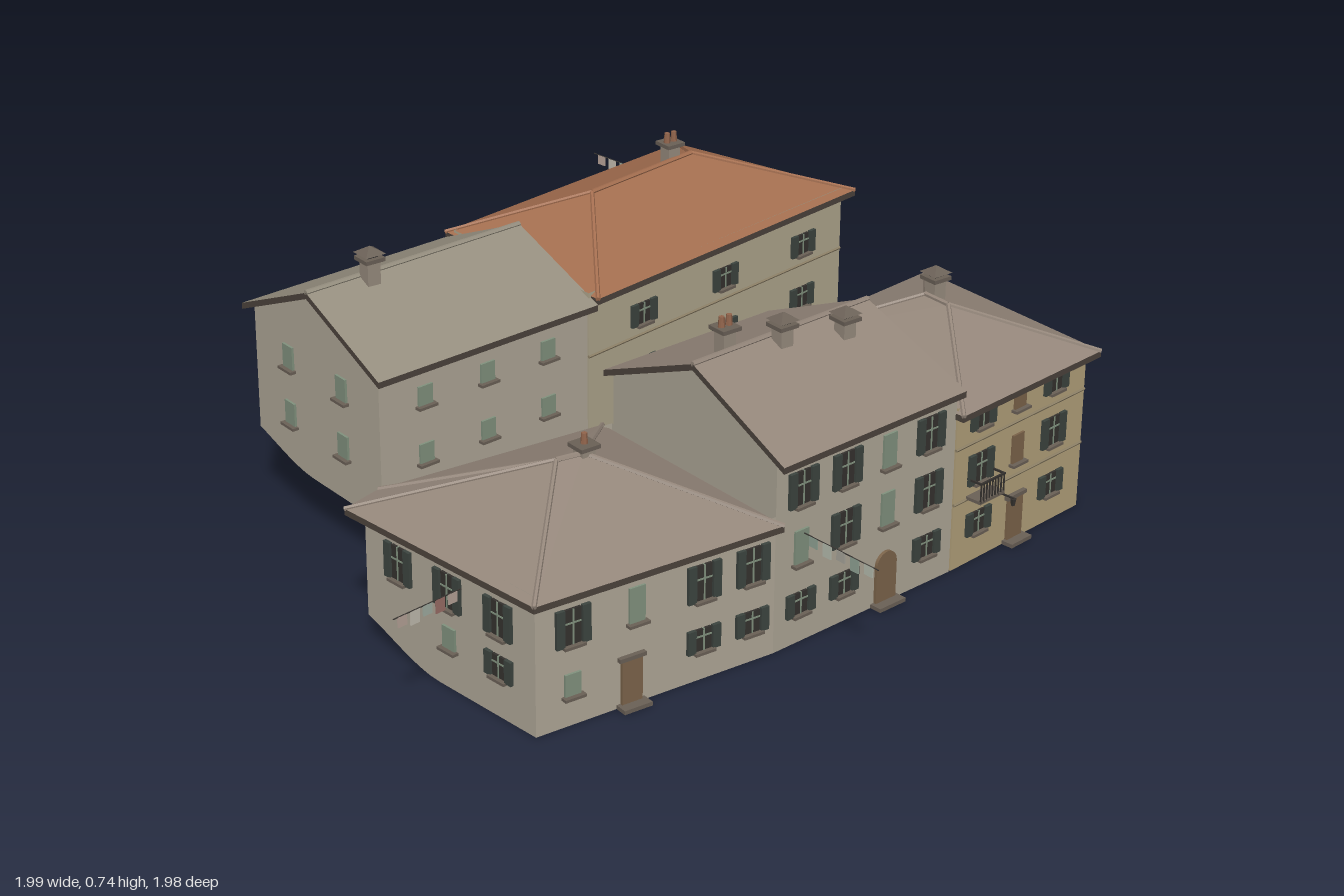
import * as THREE from 'three';

const mats = {};
const mat = (c) => mats[c] ??= new THREE.MeshStandardMaterial({ color: c, side: THREE.DoubleSide, flatShading: true });
const DARK = 0x35322f, TRIM = 0x6b6157, SHUTTER = 0x3d4540, GREEN = 0x82937f, BROWN = 0x7d654b;

function add(parent, geo, color, name, x = 0, y = 0, z = 0) {
  const m = new THREE.Mesh(geo, mat(color));
  m.name = name;
  m.position.set(x, y, z);
  parent.add(m);
  return m;
}
const box = (p, name, c, w, h, d, x, y, z) => add(p, new THREE.BoxGeometry(w, h, d), c, name, x, y, z);

// Mesh from quads or triangles given as Vector3 lists
function sheet(parent, faces, color, name) {
  const pos = [];
  for (const f of faces)
    for (let i = 2; i < f.length; i++) for (const v of [f[0], f[i - 1], f[i]]) pos.push(v.x, v.y, v.z);
  const g = new THREE.BufferGeometry();
  g.setAttribute('position', new THREE.Float32BufferAttribute(pos, 3));
  g.computeVertexNormals();
  return add(parent, g, color, name);
}

function beam(parent, a, b, r, color, name) {
  const m = add(parent, new THREE.CylinderGeometry(r, r, a.distanceTo(b), 6), color, name);
  m.position.copy(a).lerp(b, 0.5);
  m.quaternion.setFromUnitVectors(new THREE.Vector3(0, 1, 0), b.clone().sub(a).normalize());
}

// Hillside level: two terraces, each rising toward the back
const ground = (z) => z > 0
  ? 0.085 * (1 - THREE.MathUtils.smoothstep(z, 0.06, 0.4))
  : 0.155 + 0.07 * (1 - THREE.MathUtils.smoothstep(z, -0.72, -0.36));

// Group lying on wall a-b at a world coordinate along its main axis; local +z points outward
function onWall(parent, [a, b], at, y, name) {
  const dx = b[0] - a[0], dz = b[1] - a[1];
  const t = Math.abs(dx) > Math.abs(dz) ? (at - a[0]) / dx : (at - a[1]) / dz;
  const g = new THREE.Group();
  g.name = name;
  g.position.set(a[0] + dx * t, y, a[1] + dz * t);
  g.rotation.y = Math.atan2(-dz, dx);
  parent.add(g);
  return g;
}

// kind: s = open shutters, g / b = closed green / brown shutters
function windowAt(parent, wall, at, y, kind, h = 0.08) {
  const g = onWall(parent, wall, at, y, 'window'), w = 0.042;
  box(g, 'pane', kind === 's' ? DARK : kind === 'g' ? GREEN : BROWN, w, h, 0.012, 0, 0, 0);
  box(g, 'sill', TRIM, w + 0.014, 0.007, 0.022, 0, -h / 2 - 0.003, 0.006);
  if (kind !== 's') return;
  box(g, 'mullion', GREEN, 0.004, h, 0.015, 0, 0, 0);
  box(g, 'crossbar', GREEN, w, 0.004, 0.015, 0, 0.01, 0);
  for (const s of [-1, 1]) box(g, 'shutter', SHUTTER, 0.022, h + 0.004, 0.009, s * (w / 2 + 0.013), 0, 0.006);
}

function windows(parent, wall, y, spots, h) {
  for (const [at, kind] of spots) windowAt(parent, wall, at, y, kind, h);
}

function doorAt(parent, wall, at, base, arched) {
  const g = onWall(parent, wall, at, base, 'door'), w = arched ? 0.066 : 0.055, h = arched ? 0.105 : 0.12;
  const s = new THREE.Shape().moveTo(-w / 2, 0).lineTo(w / 2, 0).lineTo(w / 2, h);
  if (arched) s.absarc(0, h, w / 2, 0, Math.PI);
  else s.lineTo(-w / 2, h);
  add(g, new THREE.ExtrudeGeometry(s, { depth: 0.014, bevelEnabled: false, curveSegments: 8 }), BROWN, 'doorLeaf', 0, 0, -0.006);
  box(g, 'doorstep', TRIM, w + 0.02, 0.01, 0.035, 0, 0.005, 0.015);
  if (!arched) box(g, 'lintel', TRIM, w + 0.016, 0.01, 0.02, 0, h + 0.004, 0.002);
}

// House: walls and eaves listed front-left, front-right, back-right, back-left (+ extra).
// ends[i] is the ridge end that eave corner i climbs to.
function house(root, { name, walls, eaves, ridge, ends, eave, peak, gable, wallColor, roofColor }) {
  const g = new THREE.Group();
  g.name = name;
  root.add(g);
  const n = walls.length, top = eave + 0.01, V = (p, y) => new THREE.Vector3(p[0], y, p[1]);
  const edges = walls.map((p, i) => [p, walls[(i + 1) % n]]);
  const C = eaves.map((p) => V(p, eave)), R = ridge.map((p) => V(p, peak));
  const wallFaces = [], roofFaces = [], fascia = [], N = 16;
  edges.forEach(([a, b], i) => {
    const j = (i + 1) % n, isGable = gable && ends[i] === ends[j];
    const rz = ridge[ends[i]][1], mid = (rz - a[1]) / (b[1] - a[1]);
    const ts = [...Array(N + 1).keys()].map((k) => k / N);
    if (isGable) ts.push(mid), ts.sort((u, v) => u - v);
    const at = (t) => {
      const p = [a[0] + (b[0] - a[0]) * t, a[1] + (b[1] - a[1]) * t];
      const rise = isGable ? (peak - 0.005 - top) * Math.min(t / mid, (1 - t) / (1 - mid)) : 0;
      return [V(p, ground(p[1])), V(p, top + rise)];
    };
    for (let k = 1; k < ts.length; k++) {
      const [l, lt] = at(ts[k - 1]), [r, rt] = at(ts[k]);
      wallFaces.push([l, r, rt, lt]);
    }
    const rim = isGable ? [C[i], R[ends[i]], C[j]] : [C[i], C[j]];
    for (let k = 1; k < rim.length; k++) {
      const low = (v) => v.clone().setY(v.y - 0.016);
      fascia.push([low(rim[k - 1]), low(rim[k]), rim[k], rim[k - 1]]);
    }
    if (isGable) return;
    roofFaces.push(ends[i] === ends[j] ? [C[i], C[j], R[ends[i]]] : [C[i], C[j], R[ends[j]], R[ends[i]]]);
  });
  sheet(g, wallFaces, wallColor, 'walls');
  sheet(g, roofFaces, roofColor, 'roof');
  sheet(g, fascia, 0x4d443d, 'eaveEdge');
  // Ridge and hip tiles
  beam(g, R[0], R[1], 0.007, roofColor, 'ridgeTiles');
  if (!gable) C.forEach((c, i) => beam(g, c, R[ends[i]], 0.006, roofColor, 'hipTiles'));
  return { g, edges };
}

function chimney(root, x, z, base, top, pots = 0) {
  const g = new THREE.Group(), w = 0.036;
  g.name = 'chimney';
  g.position.set(x, 0, z);
  root.add(g);
  const h = top - base - 0.03;
  box(g, 'stack', 0x988c7e, w, h, w, 0, base + h / 2, 0);
  box(g, 'cap', TRIM, w + 0.018, 0.01, w + 0.018, 0, top - 0.028, 0);
  for (let i = 0; i < pots; i++)
    add(g, new THREE.CylinderGeometry(0.007, 0.009, 0.03, 8), 0x93654c, 'pot', (i - (pots - 1) / 2) * 0.022, top - 0.012, 0);
  if (!pots) {
    box(g, 'vent', DARK, w - 0.008, 0.014, w - 0.008, 0, top - 0.017, 0);
    add(g, new THREE.ConeGeometry(0.04, 0.018, 4).rotateY(Math.PI / 4), TRIM, 'hood', 0, top - 0.005, 0);
  }
}

function clothesline(root, a, b, colors) {
  const g = new THREE.Group(), d = b.clone().sub(a), n = 5;
  g.name = 'clothesline';
  root.add(g);
  beam(g, a, b, 0.0015, DARK, 'line');
  for (let i = 0; i < n; i++) {
    const h = 0.026 + 0.008 * (i % 2), p = a.clone().addScaledVector(d, (i + 0.7) / (n + 0.4));
    box(g, 'cloth', colors[i % colors.length], 0.026, h, 0.003, p.x, p.y - h / 2, p.z).rotation.y = Math.atan2(-d.z, d.x);
  }
}

// Shop front with a striped awning
function shop(parent, wall, at, color) {
  const g = onWall(parent, wall, at, 0.21, 'shop');
  box(g, 'shopWindow', DARK, 0.11, 0.105, 0.014, 0, 0.055, 0);
  for (const x of [-0.055, 0, 0.055]) box(g, 'shopFrame', TRIM, 0.006, 0.11, 0.02, x, 0.055, 0);
  for (let i = 0; i < 8; i++)
    box(g, 'awningStripe', i % 2 ? 0xd8d2c4 : color, 0.0165, 0.004, 0.052, (i - 3.5) * 0.0165, 0.118, 0.022).rotation.x = 0.6;
}

export function createModel() {
  const root = new THREE.Group();
  root.name = 'hillsideHouses';
  const V = (x, y, z) => new THREE.Vector3(x, y, z);
  const GREY = 0xb0a898, TILE = 0x95877b, hip = [0, 1, 1, 0];

  const A = house(root, {
    name: 'leftFrontHouse', eave: 0.34, peak: 0.475, wallColor: GREY, roofColor: TILE,
    walls: [[-0.765, 0.725], [-0.12, 0.755], [-0.12, 0.15], [-0.73, 0.115], [-0.82, 0.15]],
    eaves: [[-0.785, 0.75], [-0.12, 0.785], [-0.13, 0.125], [-0.74, 0.085], [-0.855, 0.12]],
    ridge: [[-0.49, 0.43], [-0.42, 0.44]], ends: [0, 1, 1, 0, 0] });
  const B = house(root, {
    name: 'middleFrontHouse', eave: 0.485, peak: 0.62, gable: true, wallColor: GREY, roofColor: TILE,
    walls: [[-0.12, 0.755], [0.465, 0.71], [0.41, 0.125], [-0.12, 0.155]],
    eaves: [[-0.125, 0.785], [0.47, 0.735], [0.4, 0.1], [-0.13, 0.13]],
    ridge: [[-0.127, 0.46], [0.435, 0.42]], ends: hip });
  const C = house(root, {
    name: 'rightFrontHouse', eave: 0.42, peak: 0.54, wallColor: 0xb5a37c, roofColor: TILE,
    walls: [[0.47, 0.71], [0.955, 0.645], [0.955, 0.075], [0.42, 0.145]],
    eaves: [[0.465, 0.735], [0.985, 0.665], [0.98, 0.04], [0.4, 0.12]],
    ridge: [[0.69, 0.43], [0.69, 0.35]], ends: [0, 0, 1, 1] });
  const D = house(root, {
    name: 'leftBackHouse', eave: 0.535, peak: 0.66, gable: true, wallColor: GREY, roofColor: 0x979080,
    walls: [[-0.635, -0.065], [0.01, -0.12], [-0.02, -0.645], [-0.64, -0.6]],
    eaves: [[-0.65, -0.04], [0.02, -0.09], [-0.03, -0.67], [-0.66, -0.625]],
    ridge: [[-0.655, -0.335], [-0.005, -0.38]], ends: hip });
  const E = house(root, {
    name: 'rightBackHouse', eave: 0.55, peak: 0.67, wallColor: 0xb3a990, roofColor: 0xa56f50,
    walls: [[0.01, -0.115], [0.955, -0.27], [0.81, -0.775], [-0.02, -0.645]],
    eaves: [[0.02, -0.09], [0.99, -0.255], [0.83, -0.81], [-0.03, -0.67]],
    ridge: [[0.25, -0.42], [0.62, -0.485]], ends: hip });

  // Windows, wall by wall
  const put = (h, side, y, spots, height) => windows(h.g, h.edges[side], y, spots, height);
  put(A, 0, 0.25, [[-0.67, 's'], [-0.5, 'g'], [-0.32, 's'], [-0.185, 's']], 0.088);
  put(A, 0, 0.105, [[-0.67, 'g'], [-0.32, 's'], [-0.185, 's']], 0.055);
  put(A, 4, 0.25, [[0.27, 's'], [0.44, 's'], [0.61, 's']], 0.085);
  put(A, 4, 0.13, [[0.44, 'g'], [0.61, 's']], 0.055);
  put(A, 2, 0.25, [[-0.58, 'g'], [-0.3, 'g']], 0.06);
  put(B, 0, 0.4, [[-0.04, 's'], [0.1, 's'], [0.24, 'g'], [0.375, 's']], 0.085);
  put(B, 0, 0.25, [[-0.04, 'g'], [0.1, 's'], [0.24, 'g'], [0.375, 's']], 0.085);
  put(B, 0, 0.105, [[-0.04, 's'], [0.1, 's'], [0.375, 's']], 0.055);
  for (const y of [0.4, 0.25]) put(B, 2, y, [[0, 'g'], [0.27, 'g']], 0.055);
  put(C, 0, 0.385, [[0.56, 's'], [0.7, 'b'], [0.835, 's']], 0.055);
  put(C, 0, 0.25, [[0.56, 's'], [0.7, 'b'], [0.835, 's']], 0.075);
  put(C, 0, 0.105, [[0.56, 's'], [0.835, 's']], 0.055);
  put(C, 1, 0.385, [[0.53, 's'], [0.37, 'b'], [0.2, 's']], 0.055);
  put(C, 1, 0.25, [[0.53, 's'], [0.37, 'b'], [0.2, 'b']], 0.075);
  put(C, 1, 0.105, [[0.53, 's']], 0.055);
  for (const y of [0.38, 0.25]) put(C, 2, y, [[0.54, 's'], [0.69, 'b'], [0.84, 's']], 0.055);
  for (const y of [0.45, 0.3]) {
    put(D, 0, y, [[-0.5, 'g'], [-0.31, 'g'], [-0.12, 'g']], 0.05);
    put(D, 3, y, [[-0.45, 'g'], [-0.22, 'g']], 0.06);
    put(E, 0, y, [[0.2, 's'], [0.5, 's'], [0.8, 's']], 0.055);
  }
  put(D, 2, 0.45, [[-0.54, 's'], [-0.4, 's'], [-0.26, 's'], [-0.11, 's']], 0.09);
  put(D, 2, 0.3, [[-0.11, 'g']], 0.05);
  put(E, 1, 0.465, [[-0.37, 's'], [-0.52, 's'], [-0.68, 's']], 0.095);
  put(E, 1, 0.31, [[-0.37, 'g'], [-0.52, 'g'], [-0.68, 'g']], 0.05);
  for (let i = 0; i < 7; i++) {
    put(E, 2, 0.465, [[0.06 + i * 0.112, 's']], 0.09);
    put(E, 2, 0.31, [[0.06 + i * 0.112, 'g']], 0.05);
  }

  // Doors and shops
  doorAt(A.g, A.edges[0], -0.515, 0, false);
  doorAt(B.g, B.edges[0], 0.24, 0, true);
  doorAt(C.g, C.edges[0], 0.7, 0, false);
  doorAt(D.g, D.edges[2], -0.4, 0.215, false);
  shop(D.g, D.edges[2], -0.54, 0xa8564c);
  shop(D.g, D.edges[2], -0.26, 0x6d9078);

  // String courses
  for (const [h, y, sides] of [[C, 0.32, [0, 1, 2]], [C, 0.175, [0, 1]], [E, 0.39, [0, 1, 2]]])
    for (const i of sides) {
      const [a, b] = h.edges[i];
      beam(h.g, V(a[0], y, a[1]), V(b[0], y, b[1]), 0.004, 0x8f8268, 'stringCourse');
    }

  // Balcony and wall lamp
  const bal = onWall(C.g, C.edges[0], 0.56, 0.2, 'balcony');
  box(bal, 'floor', TRIM, 0.09, 0.008, 0.045, 0, -0.02, 0.022);
  box(bal, 'rail', DARK, 0.09, 0.005, 0.005, 0, 0.03, 0.043);
  for (let i = 0; i < 9; i++) box(bal, 'baluster', DARK, 0.003, 0.05, 0.003, -0.043 + i * 0.01075, 0.005, 0.043);
  for (const s of [-1, 1]) box(bal, 'sideRail', DARK, 0.004, 0.005, 0.045, s * 0.043, 0.03, 0.022);
  const lamp = onWall(C.g, C.edges[0], 0.655, 0.14, 'wallLamp');
  box(lamp, 'bracket', DARK, 0.004, 0.004, 0.035, 0, 0, 0.017);
  add(lamp, new THREE.CylinderGeometry(0.008, 0.005, 0.018, 6), DARK, 'lantern', 0, -0.01, 0.034);

  // Chimneys
  chimney(root, -0.48, -0.325, 0.62, 0.735);
  chimney(root, 0.56, -0.495, 0.63, 0.735, 2);
  chimney(root, 0, 0.42, 0.57, 0.69, 2);
  chimney(root, 0.13, 0.47, 0.57, 0.68);
  chimney(root, 0.3, 0.495, 0.55, 0.66);
  chimney(root, 0.72, 0.35, 0.49, 0.605);
  chimney(root, -0.415, 0.435, 0.43, 0.52, 1);

  // Washing lines
  const cloth = [0xb9a59a, 0x9c6f68, 0xa3b0a4, 0xc5bfb2];
  clothesline(root, V(-0.8, 0.283, 0.5), V(-0.995, 0.283, 0.525), cloth);
  clothesline(root, V(-0.035, 0.283, 0.755), V(-0.02, 0.283, 0.99), [0x93a596, 0xb8beb0, 0xa9a79c]);
  clothesline(root, V(0.715, 0.5, -0.765), V(0.685, 0.5, -0.99), cloth);
  return root;
}
